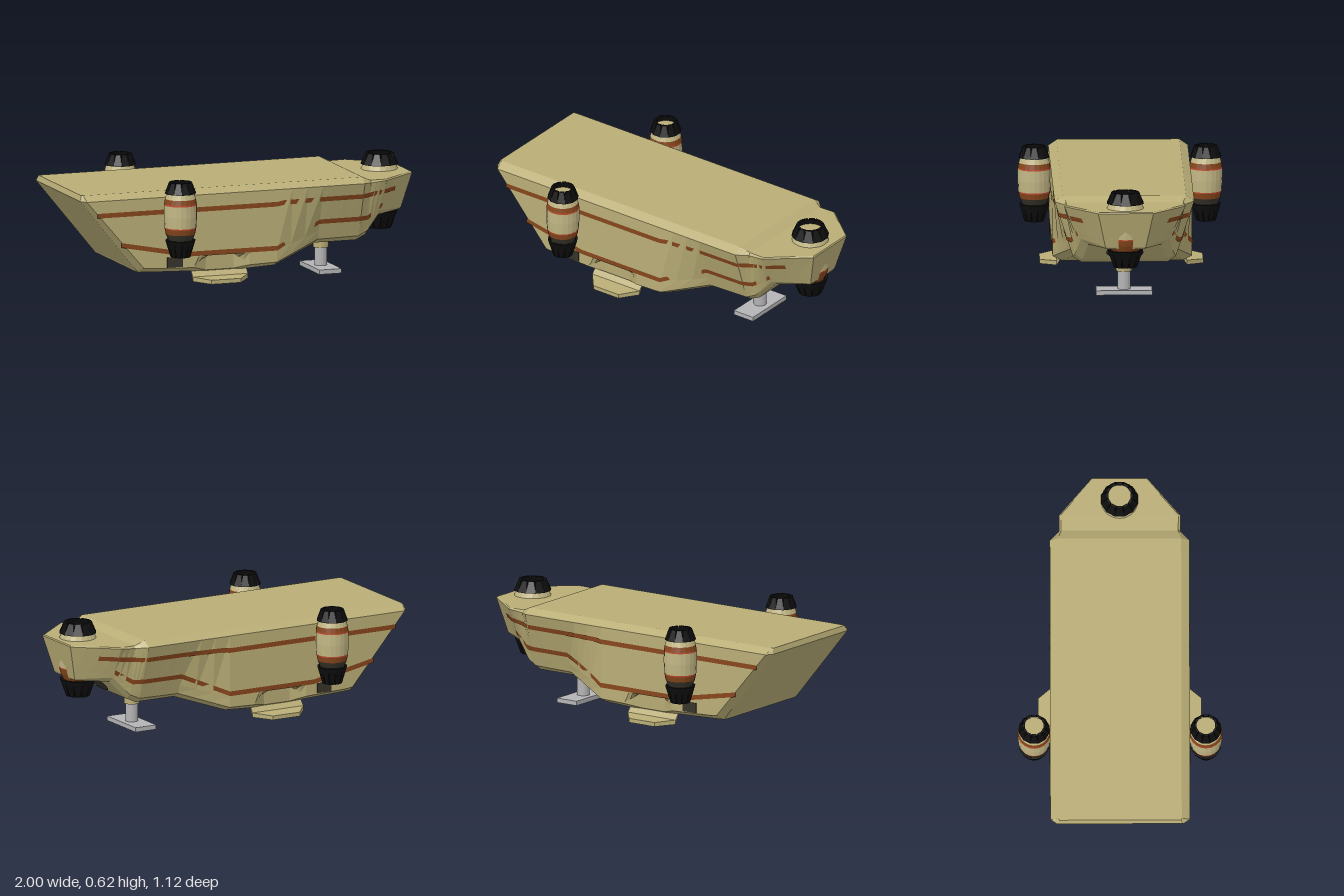
import * as THREE from 'three';
import { mergeGeometries } from 'three/addons/utils/BufferGeometryUtils.js';

const mat = (name, color, side = THREE.FrontSide) =>
  Object.assign(new THREE.MeshStandardMaterial({ color, flatShading: true, side }), { name });

export function createModel() {
  const tan = mat('tan hull', 0xb9ad76);
  const cream = mat('cream barrel', 0xc2b684);
  const rust = mat('rust paint', 0x87461c, THREE.DoubleSide);
  const red = mat('red ring', 0xbf4a2c);
  const black = mat('black nozzle', 0x0e0e0e, THREE.DoubleSide);
  const charcoal = mat('charcoal scorch', 0x36342a, THREE.DoubleSide);
  const grey = mat('grey metal', 0xb4b4b6);

  const root = new THREE.Group();
  root.name = 'dropship';
  const add = (parent, name, geo, material, x = 0, y = 0, z = 0) => {
    const mesh = new THREE.Mesh(geo, material);
    mesh.name = name;
    mesh.position.set(x, y, z);
    parent.add(mesh);
    return mesh;
  };
  const lerp = (a, b, t) => a.map((v, i) => v + (b[i] - v) * t);
  const fromTriangles = (pos) => {
    const g = new THREE.BufferGeometry();
    g.setAttribute('position', new THREE.Float32BufferAttribute(pos, 3));
    g.computeVertexNormals();
    return g;
  };
  const quad = (out, a, b, c, d) => out.push(...a, ...b, ...c, ...a, ...c, ...d);

  // Hull half-sections: floor edge, lower wall, two wall points, upper wall, roof edge
  const section = (b, l, e, t) => [b, l, lerp(l, e, 0.02), lerp(l, e, 0.16), e, t];
  const plain = (x, yb, zb, yl, zl, ye = 0.53, ze = 0.38, yt = 0.56, zt = 0.335) =>
    section([x, yb, zb], [x, yl, zl], [x, ye, ze], [x, yt, zt]);
  const recess = (x) => {
    const s = plain(x, 0.1, 0.33, 0.127, 0.38);
    s[1] = [x, 0.105, 0.338];
    s[2] = [x, 0.188, 0.342];
    return s;
  };
  const sections = [
    section([-0.665, 0.115, 0.32], [-0.67, 0.125, 0.335], [-1, 0.53, 0.345], [-0.99, 0.56, 0.33]),
    section([-0.655, 0.115, 0.33], [-0.645, 0.145, 0.38], [-0.975, 0.53, 0.38], [-0.98, 0.56, 0.335]),
    plain(-0.6, 0.112, 0.33, 0.14, 0.38),
    plain(-0.35, 0.103, 0.33, 0.13, 0.38),
    recess(-0.27),
    recess(-0.11),
    plain(-0.03, 0.097, 0.33, 0.125, 0.38),
    plain(0.13, 0.105, 0.33, 0.13, 0.38),
    plain(0.4, 0.195, 0.235, 0.222, 0.285),
    plain(0.64, 0.195, 0.235, 0.225, 0.28),
    plain(0.695, 0.22, 0.23, 0.25, 0.27, 0.522, 0.33, 0.535, 0.318),
    plain(0.785, 0.32, 0.2, 0.35, 0.24, 0.53, 0.33, 0.536, 0.32),
    section([0.945, 0.325, 0.1], [0.95, 0.335, 0.11], [1, 0.53, 0.15], [0.995, 0.536, 0.142]),
  ];

  // Hull skin, with each bay divided so the twisted walls stay even
  const STEPS = 3;
  const rings = [];
  sections.forEach((s, i) => {
    const next = sections[i + 1];
    for (let k = 0; k < (next ? STEPS : 1); k++) {
      const half = s.map((p, j) => (next ? lerp(p, next[j], k / STEPS) : p));
      rings.push([...half, ...half.map(([x, y, z]) => [x, y, -z]).reverse()]);
    }
  });
  const skin = [];
  for (let i = 0; i < rings.length - 1; i++) {
    const p = rings[i], q = rings[i + 1];
    for (let j = 0; j < 12; j++) {
      const n = (j + 1) % 12;
      quad(skin, p[j], q[j], q[n], p[n]);
    }
  }
  const nose = rings[0], tail = rings[rings.length - 1];
  for (let j = 0; j < 5; j++) {
    quad(skin, nose[j], nose[j + 1], nose[10 - j], nose[11 - j]);
    quad(skin, tail[11 - j], tail[10 - j], tail[j + 1], tail[j]);
  }
  add(root, 'hull', fromTriangles(skin), tan);

  // Half-width of the side wall at a given x and y
  const wallZ = (x, y) => {
    const at = (s) => lerp(s[3], s[4], (y - s[3][1]) / (s[4][1] - s[3][1]));
    for (let i = 1; i < sections.length - 1; i++) {
      const a = at(sections[i]), b = at(sections[i + 1]);
      if (x <= b[0] || i === sections.length - 2) return a[2] + ((b[2] - a[2]) * (x - a[0])) / (b[0] - a[0]);
    }
  };

  // Painted stripes that follow the walls
  const stripe = (name, path, width) => {
    for (const side of [1, -1]) {
      const pos = [];
      const edge = (p) => [-0.5, 0.5].map((h) => {
        const y = p[1] + h * width;
        return [p[0], y, side * (wallZ(p[0], y) + 0.004)];
      });
      for (let i = 0; i < path.length - 1; i++) {
        const n = Math.ceil((path[i + 1][0] - path[i][0]) / 0.03);
        for (let k = 0; k < n; k++) {
          const a = edge(lerp(path[i], path[i + 1], k / n));
          const b = edge(lerp(path[i], path[i + 1], (k + 1) / n));
          if (side > 0) quad(pos, a[0], b[0], b[1], a[1]);
          else quad(pos, b[0], a[0], a[1], b[1]);
        }
      }
      add(root, name, fromTriangles(pos), rust);
    }
  };
  stripe('upperStripe', [[-0.915, 0.45], [0.13, 0.45], [0.17, 0.456], [0.69, 0.456], [0.8, 0.466], [0.87, 0.466]], 0.026);
  stripe('lowerStripe', [[-0.775, 0.28], [-0.4, 0.207], [0.13, 0.207], [0.4, 0.325], [0.69, 0.325], [0.785, 0.385]], 0.026);

  // Ring of tapered petals around an open nozzle
  const nozzle = (parent, y0, r0, y1, r1) => {
    const petals = [];
    for (let i = 0; i < 12; i++) {
      const g = new THREE.BoxGeometry(1, 1, 1);
      const p = g.attributes.position;
      for (let v = 0; v < p.count; v++) {
        const tip = (p.getY(v) > 0) === (y1 > y0);
        const r = tip ? r1 : r0;
        const w = 2 * r * Math.tan(Math.PI / 12) * (tip ? 0.75 : 1.04);
        p.setXYZ(v, p.getX(v) * w, tip ? y1 : y0, r - 0.006 + p.getZ(v) * 0.012);
      }
      petals.push(g.rotateY((i * Math.PI) / 6));
    }
    add(parent, 'nozzlePetals', mergeGeometries(petals), black);
    const cone = (name, t, inset, open, m) => {
      const ye = y0 + (y1 - y0) * t, re = r0 + (r1 - r0) * t - inset, rb = r0 - inset;
      const up = y1 > y0;
      const g = new THREE.CylinderGeometry(up ? re : rb, up ? rb : re, Math.abs(ye - y0), 24, 1, open);
      add(parent, name, g, m, 0, (y0 + ye) / 2);
    };
    cone('nozzleSleeve', 0.75, 0.01, true, black);
    cone('nozzleCore', 0.45, 0.014, false, tan);
  };

  // Vertical thruster: painted barrel bands with a nozzle at each end
  const bands = [
    [0.305, 0.066, 0.34, 0.08, charcoal], [0.34, 0.08, 0.37, 0.086, rust], [0.37, 0.086, 0.377, 0.087, red],
    [0.377, 0.087, 0.44, 0.0905, cream], [0.44, 0.0905, 0.5, 0.0895, cream], [0.5, 0.0895, 0.508, 0.089, red],
    [0.508, 0.089, 0.535, 0.084, rust], [0.535, 0.084, 0.566, 0.074, cream],
  ];
  const thruster = (name, x, z, width, isRear) => {
    const g = new THREE.Group();
    g.name = name;
    g.position.set(x, 0, z);
    g.scale.set(width, 1, width);
    for (const [y0, r0, y1, r1, m] of bands) {
      const paint = isRear && m === charcoal ? rust : m;
      add(g, 'barrelBand', new THREE.CylinderGeometry(r1, r0, y1 - y0, 20), paint, 0, (y0 + y1) / 2);
    }
    nozzle(g, 0.564, 0.083, 0.625, 0.062);
    nozzle(g, 0.307, 0.08, 0.212, 0.053);
    root.add(g);
  };
  thruster('leftThruster', -0.465, 0.467, 1, false);
  thruster('rightThruster', -0.465, -0.467, 1, false);
  thruster('rearThruster', 0.865, 0, 1.2, true);

  // Scorch marks beside the side thrusters and under the tail
  for (const s of [1, -1])
    add(root, 'sideScorch', new THREE.BoxGeometry(0.09, 0.055, 0.008), charcoal, -0.465, 0.167, s * 0.38);
  const mark = add(root, 'tailScorch', new THREE.CircleGeometry(0.06, 20), charcoal, 0.745, 0.268, 0);
  mark.scale.set(1.7, 1, 1);
  mark.lookAt(0.745 + 0.743, 0.268 - 0.669, 0);

  // Folding side skids; each slab goes from an inner edge to an outer edge
  const slab = (inner, outer, s) => {
    const g = new THREE.BoxGeometry(1, 1, 1);
    const p = g.attributes.position;
    for (let v = 0; v < p.count; v++) {
      const e = p.getZ(v) * s > 0 ? outer : inner;
      p.setXYZ(v, -0.19 + p.getX(v) * 2 * e.half, p.getY(v) > 0 ? e.top : e.low, s * e.z);
    }
    g.computeVertexNormals();
    return g;
  };
  for (const s of [1, -1]) {
    const skid = new THREE.Group();
    skid.name = s > 0 ? 'leftSkid' : 'rightSkid';
    const knee = { z: 0.354, low: 0.048, top: 0.073, half: 0.16 };
    add(skid, 'skidHinge', slab({ z: 0.328, low: 0.09, top: 0.102, half: 0.16 }, knee, s), tan);
    add(skid, 'skidPad', slab(knee, { z: 0.445, low: 0.043, top: 0.066, half: 0.085 }, s), tan);
    root.add(skid);
  }

  // Rear landing leg
  const leg = new THREE.Group();
  leg.name = 'rearLeg';
  leg.position.x = 0.525;
  add(leg, 'legSleeve', new THREE.CylinderGeometry(0.043, 0.043, 0.09, 20), tan, 0, 0.17);
  add(leg, 'legPiston', new THREE.CylinderGeometry(0.035, 0.035, 0.12, 20), grey, 0, 0.08);
  add(leg, 'legFoot', new THREE.BoxGeometry(0.13, 0.025, 0.305), grey, 0, 0.0125);
  root.add(leg);

  return root;
}
